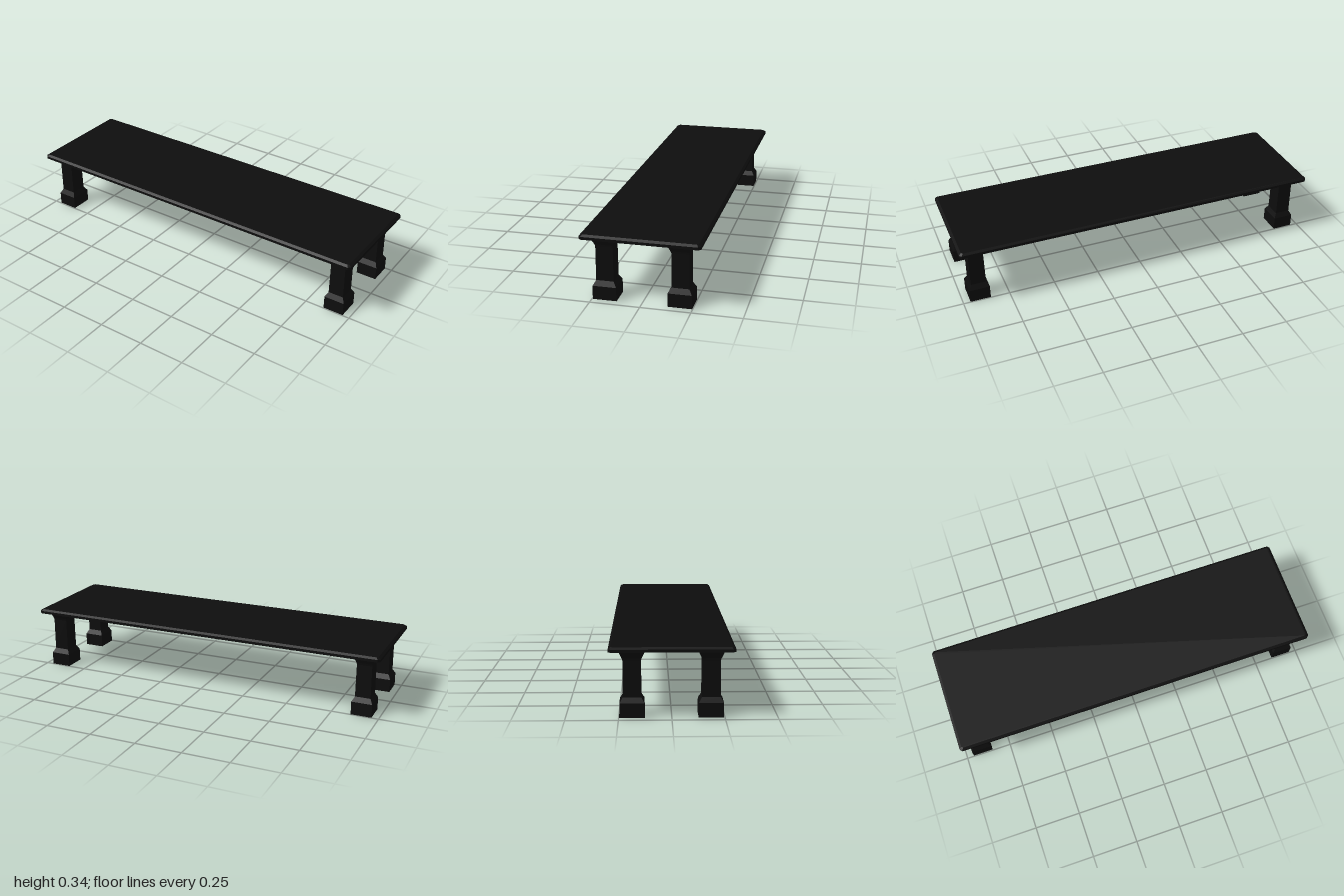
import * as THREE from 'three';

const material = new THREE.MeshStandardMaterial({ color: 0x0d0d0d, flatShading: true });

// Rectangular outline, counter-clockwise from above, with optional clipped corners
function outline([y, hx, hz, cut = 0]) {
  const points = [];
  [[1, 1], [1, -1], [-1, -1], [-1, 1]].forEach(([sx, sz], i) => {
    const alongX = [sx * (hx - cut), y, sz * hz];
    const alongZ = [sx * hx, y, sz * (hz - cut)];
    if (!cut) points.push([sx * hx, y, sz * hz]);
    else points.push(...(i % 2 ? [alongZ, alongX] : [alongX, alongZ]));
  });
  return points;
}

// Solid skinned over a stack of outlines, bottom to top, with both ends capped
function loft(levels) {
  const rings = levels.map(outline);
  const n = rings[0].length;
  const index = [];
  for (let r = 0; r < rings.length - 1; r++) {
    for (let i = 0; i < n; i++) {
      const a = r * n + i, b = r * n + (i + 1) % n;
      index.push(a, b, b + n, a, b + n, a + n);
    }
  }
  const top = (rings.length - 1) * n;
  for (let i = 1; i < n - 1; i++) {
    index.push(0, i + 1, i, top, top + i, top + i + 1);
  }
  const indexed = new THREE.BufferGeometry();
  indexed.setAttribute('position', new THREE.Float32BufferAttribute(rings.flat(2), 3));
  indexed.setIndex(index);
  const geometry = indexed.toNonIndexed();
  geometry.computeVertexNormals();
  return geometry;
}

export function createModel() {
  const model = new THREE.Group();
  model.name = 'lowTable';

  // Thin top with chamfered edges and a slightly sloped underside rim
  const top = new THREE.Mesh(loft([
    [0.319, 0.955, 0.25, 0.01],
    [0.322, 1, 0.296, 0.012],
    [0.336, 1, 0.296, 0.012],
    [0.345, 0.987, 0.284, 0.008],
  ]), material);
  top.name = 'tableTop';
  model.add(top);

  // Square legs: block foot, plain shaft, flared head
  const legGeometry = loft([
    [0, 0.055, 0.06],
    [0.07, 0.055, 0.059],
    [0.096, 0.041, 0.044],
    [0.272, 0.04, 0.043],
    [0.283, 0.042, 0.046],
    [0.321, 0.057, 0.063],
  ]);
  for (const [xName, x] of [['Left', 0.907], ['Right', -0.907]]) {
    for (const [zName, z] of [['front', 0.186], ['back', -0.187]]) {
      const leg = new THREE.Mesh(legGeometry, material);
      leg.name = `${zName}${xName}Leg`;
      leg.position.set(x, 0, z);
      model.add(leg);
    }
  }
  return model;
}
